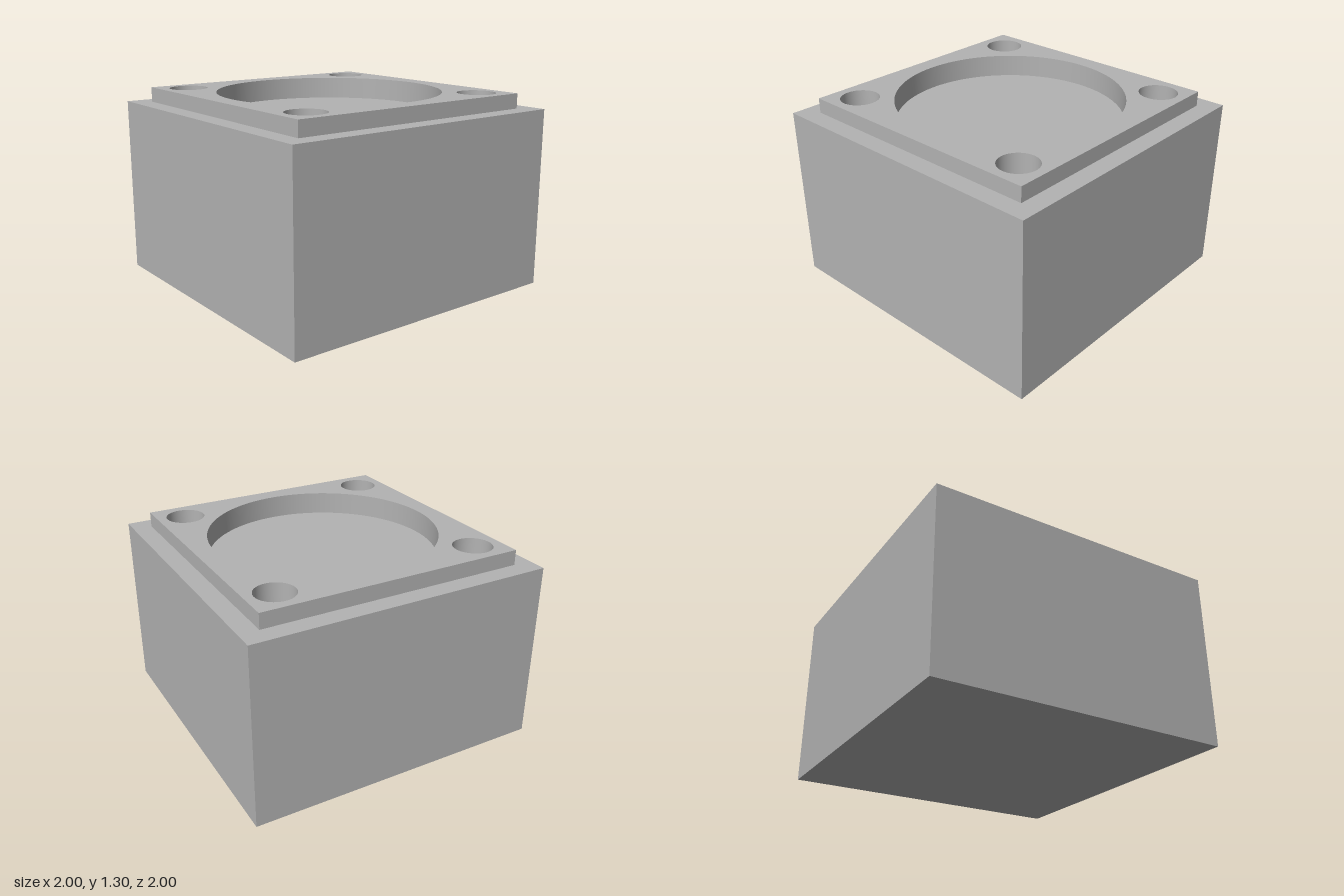
import * as THREE from 'three';

const TOP = 1.3, LEDGE = 1.2, RIM_HALF = 0.875;

// Square outline centred on the origin
function square(Type, half) {
  return new Type([[-half, -half], [half, -half], [half, half], [-half, half]]
    .map(([x, y]) => new THREE.Vector2(x, y)));
}

// Box with the chosen faces left out (0 +x, 1 -x, 2 top, 3 bottom, 4 +z, 5 -z)
function openBox(width, y0, y1, omit) {
  const geo = new THREE.BoxGeometry(width, y1 - y0, width).translate(0, (y0 + y1) / 2, 0);
  const index = Array.from(geo.index.array).filter((_, i) => !omit.includes(Math.floor(i / 6)));
  geo.setIndex(index);
  geo.clearGroups();
  return geo;
}

// Flat upward-facing sheet at height y
function sheet(shape, y) {
  return new THREE.ShapeGeometry(shape, 48).rotateX(-Math.PI / 2).translate(0, y, 0);
}

export function createModel() {
  const model = new THREE.Group();
  const grey = new THREE.MeshStandardMaterial({ color: 0xb3b3b3 });
  grey.name = 'plain grey';

  const add = (name, geometry, parent = model) => {
    const mesh = new THREE.Mesh(geometry, grey);
    mesh.name = name;
    parent.add(mesh);
  };

  // Main block and the narrow ledge around the raised plate
  add('blockSides', openBox(2, 0, LEDGE, [2]));
  const ledge = square(THREE.Shape, 1);
  ledge.holes.push(square(THREE.Path, RIM_HALF));
  add('ledge', sheet(ledge, LEDGE));

  // Raised plate, pierced by the round pockets
  add('plateSides', openBox(2 * RIM_HALF, LEDGE, TOP, [2, 3]));
  const pockets = [{ name: 'centrePocket', x: 0, z: 0, r: 0.75, depth: 0.15 }];
  for (const x of [-0.6875, 0.6875])
    for (const z of [-0.6875, 0.6875])
      pockets.push({ name: 'cornerPocket', x, z, r: 0.1275, depth: 0.2 });

  const plate = square(THREE.Shape, RIM_HALF);
  for (const { x, z, r } of pockets)
    plate.holes.push(new THREE.Path().absarc(x, -z, r, 0, 2 * Math.PI, true));
  add('plateTop', sheet(plate, TOP));

  // Pockets: inward-facing wall and a flat floor
  for (const { name, x, z, r, depth } of pockets) {
    const pocket = new THREE.Group();
    pocket.name = name;
    pocket.position.set(x, TOP, z);
    add('pocketWall', new THREE.LatheGeometry(
      [new THREE.Vector2(r, 0), new THREE.Vector2(r, -depth)], 96), pocket);
    add('pocketFloor', new THREE.CircleGeometry(r, 96)
      .rotateX(-Math.PI / 2).translate(0, -depth, 0), pocket);
    model.add(pocket);
  }
  return model;
}
